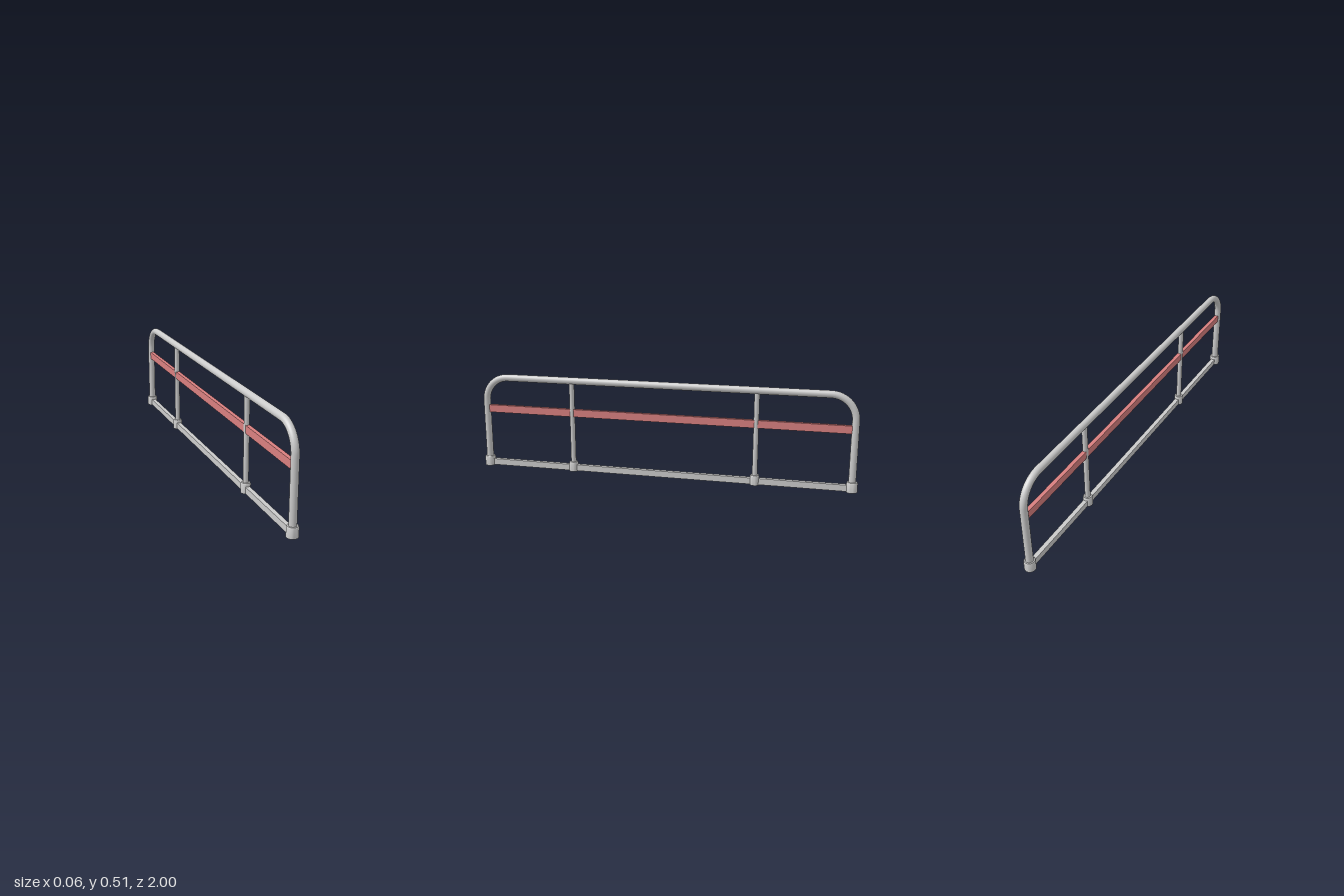
import * as THREE from 'three';
import { toCreasedNormals } from 'three/addons/utils/BufferGeometryUtils.js';

const grey = new THREE.MeshStandardMaterial({ color: 0xcccccc });
const red = new THREE.MeshStandardMaterial({ color: 0xd98080 });

const END_Z = 0.972, MID_Z = 0.487;
const TUBE_R = 0.0185, POST_R = 0.0135, TOP_Y = 0.4915, BEND = 0.125;

function add(parent, name, geometry, material = grey) {
  const mesh = new THREE.Mesh(geometry, material);
  mesh.name = name;
  parent.add(mesh);
  return mesh;
}

// Foot collar with a small chamfer at its top edge
function collar(radius, inner) {
  const profile = [[0, 0], [radius, 0], [radius, 0.046], [radius - 0.003, 0.052], [inner * 0.9, 0.052]]
    .map(([x, y]) => new THREE.Vector2(x, y));
  return toCreasedNormals(new THREE.LatheGeometry(profile, 24), 0.6);
}

// Path of the bent main tube: up, over and down in the x = 0 plane
function hoopPath() {
  const v = (y, z) => new THREE.Vector3(0, y, z);
  const path = new THREE.CurvePath();
  const arc = (side, rising) => {
    const pts = [];
    for (let i = 0; i <= 16; i++) {
      const a = (rising ? i : 16 - i) / 16 * Math.PI / 2;
      pts.push(v(TOP_Y - BEND + BEND * Math.sin(a), side * (END_Z - BEND + BEND * Math.cos(a))));
    }
    return new THREE.CatmullRomCurve3(pts);
  };
  path.add(new THREE.LineCurve3(v(0.01, END_Z), v(TOP_Y - BEND, END_Z)));
  path.add(arc(1, true));
  path.add(new THREE.LineCurve3(v(TOP_Y, END_Z - BEND), v(TOP_Y, BEND - END_Z)));
  path.add(arc(-1, false));
  path.add(new THREE.LineCurve3(v(TOP_Y - BEND, -END_Z), v(0.01, -END_Z)));
  return path;
}

export function createModel() {
  const model = new THREE.Group();
  model.name = 'guardRail';

  add(model, 'hoopTube', new THREE.TubeGeometry(hoopPath(), 200, TUBE_R, 24));

  // Flat bars running between the end uprights
  add(model, 'middleRail', new THREE.BoxGeometry(0.02, 0.04, END_Z * 2), red).position.y = 0.32;
  add(model, 'bottomRail', new THREE.BoxGeometry(0.022, 0.033, END_Z * 2)).position.y = 0.0195;

  // Collars and inner posts, mirrored front to back
  for (const side of [1, -1]) {
    add(model, 'endCollar', collar(0.028, TUBE_R)).position.z = side * END_Z;
    add(model, 'postCollar', collar(0.024, POST_R)).position.z = side * MID_Z;
    const height = TOP_Y - 0.01;
    add(model, 'post', new THREE.CylinderGeometry(POST_R, POST_R, height, 20))
      .position.set(0, 0.01 + height / 2, side * MID_Z);
  }
  return model;
}
